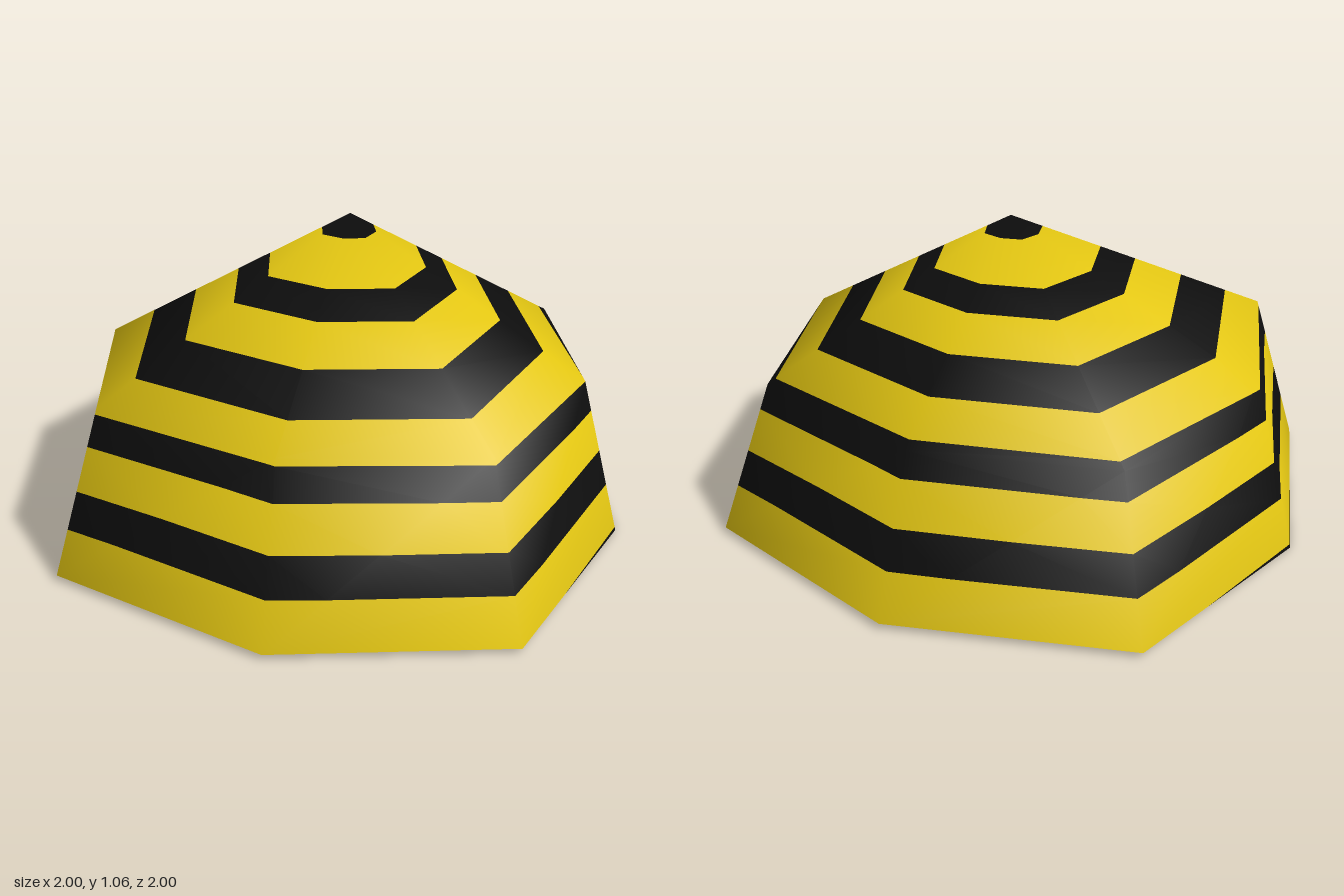
import * as THREE from 'three';

// Octagonal canopy: base rim, eave ring and apex, cut into colour bands by height
const APEX = [0.01, 1.06, -0.09];
const SIDES = 8;
const LEVELS = [-1, 0.012, 0.18, 0.31, 0.46, 0.567, 0.655, 0.745, 0.835, 0.9, 1.005, 2];

function ringPoint(i, axial, diagonal, height) {
  const a = (i / SIDES) * Math.PI * 2;
  const r = (i % 2 ? diagonal : axial) ;
  const x = Math.sin(a) * r, z = Math.cos(a) * r;
  const onZ = i % 4 === 0;
  return [x + (onZ ? 0.01 : 0), height(x, z), z];
}

// Keep the part of a polygon where sign * (band value - level) >= 0
function clip(poly, level, sign) {
  const out = [];
  poly.forEach((a, k) => {
    const b = poly[(k + 1) % poly.length];
    const da = sign * (a.v - level), db = sign * (b.v - level);
    if (da >= 0) out.push(a);
    if ((da > 0 && db < 0) || (da < 0 && db > 0)) {
      const t = da / (da - db);
      out.push({
        p: a.p.clone().lerp(b.p, t),
        n: a.n.clone().lerp(b.n, t),
        v: level,
      });
    }
  });
  return out;
}

function bandGeometry(triangles, low, high) {
  const pos = [], nor = [];
  for (const tri of triangles) {
    const poly = clip(clip(tri, low, 1), high, -1);
    for (let k = 1; k + 1 < poly.length; k++) {
      for (const c of [poly[0], poly[k], poly[k + 1]]) {
        pos.push(...c.p.toArray());
        nor.push(...c.n.clone().normalize().toArray());
      }
    }
  }
  const g = new THREE.BufferGeometry();
  g.setAttribute('position', new THREE.Float32BufferAttribute(pos, 3));
  g.setAttribute('normal', new THREE.Float32BufferAttribute(nor, 3));
  return g;
}

export function createModel() {
  const group = new THREE.Group();
  group.name = 'stripedCanopy';
  const yellow = new THREE.MeshStandardMaterial({ color: 0xe3c612, side: THREE.DoubleSide });
  yellow.name = 'yellow';
  const black = new THREE.MeshStandardMaterial({ color: 0x0d0d0d, side: THREE.DoubleSide });
  black.name = 'black';

  // Corner points: base rim, slightly tilted eave ring, apex
  const points = [];
  for (let i = 0; i < SIDES; i++) {
    points.push(ringPoint(i, 1, 1.092, () => (i % 4 === 2 ? 0 : 0.02)));
  }
  for (let i = 0; i < SIDES; i++) {
    points.push(ringPoint(i, i % 4 ? 0.85 : 0.81, 0.905, (x, z) => 0.568 + 0.04 * z));
  }
  points.push(APEX);

  // Side walls and roof panels
  const index = [];
  for (let i = 0; i < SIDES; i++) {
    const j = (i + 1) % SIDES;
    index.push(i, j, SIDES + j, i, SIDES + j, SIDES + i);
    index.push(SIDES + i, SIDES + j, 2 * SIDES);
  }
  const shell = new THREE.BufferGeometry();
  shell.setAttribute('position', new THREE.Float32BufferAttribute(points.flat(), 3));
  shell.setIndex(index);
  shell.computeVertexNormals();

  // Band value: the height, with the eave tilt softened
  const corners = points.map((p, i) => ({
    p: new THREE.Vector3(...p),
    n: new THREE.Vector3().fromBufferAttribute(shell.attributes.normal, i),
    v: i >= SIDES && i < 2 * SIDES ? 0.568 + (p[1] - 0.568) * 0.7 : p[1],
  }));
  const triangles = [];
  for (let k = 0; k < index.length; k += 3) {
    triangles.push([corners[index[k]], corners[index[k + 1]], corners[index[k + 2]]]);
  }

  // Alternating bands from rim to tip
  for (let b = 0; b + 1 < LEVELS.length; b++) {
    const dark = b % 2 === 0;
    const mesh = new THREE.Mesh(bandGeometry(triangles, LEVELS[b], LEVELS[b + 1]), dark ? black : yellow);
    mesh.name = b === 0 ? 'rimEdge' : b === LEVELS.length - 2 ? 'tip' : (dark ? 'blackBand' : 'yellowBand') + b;
    group.add(mesh);
  }
  return group;
}
